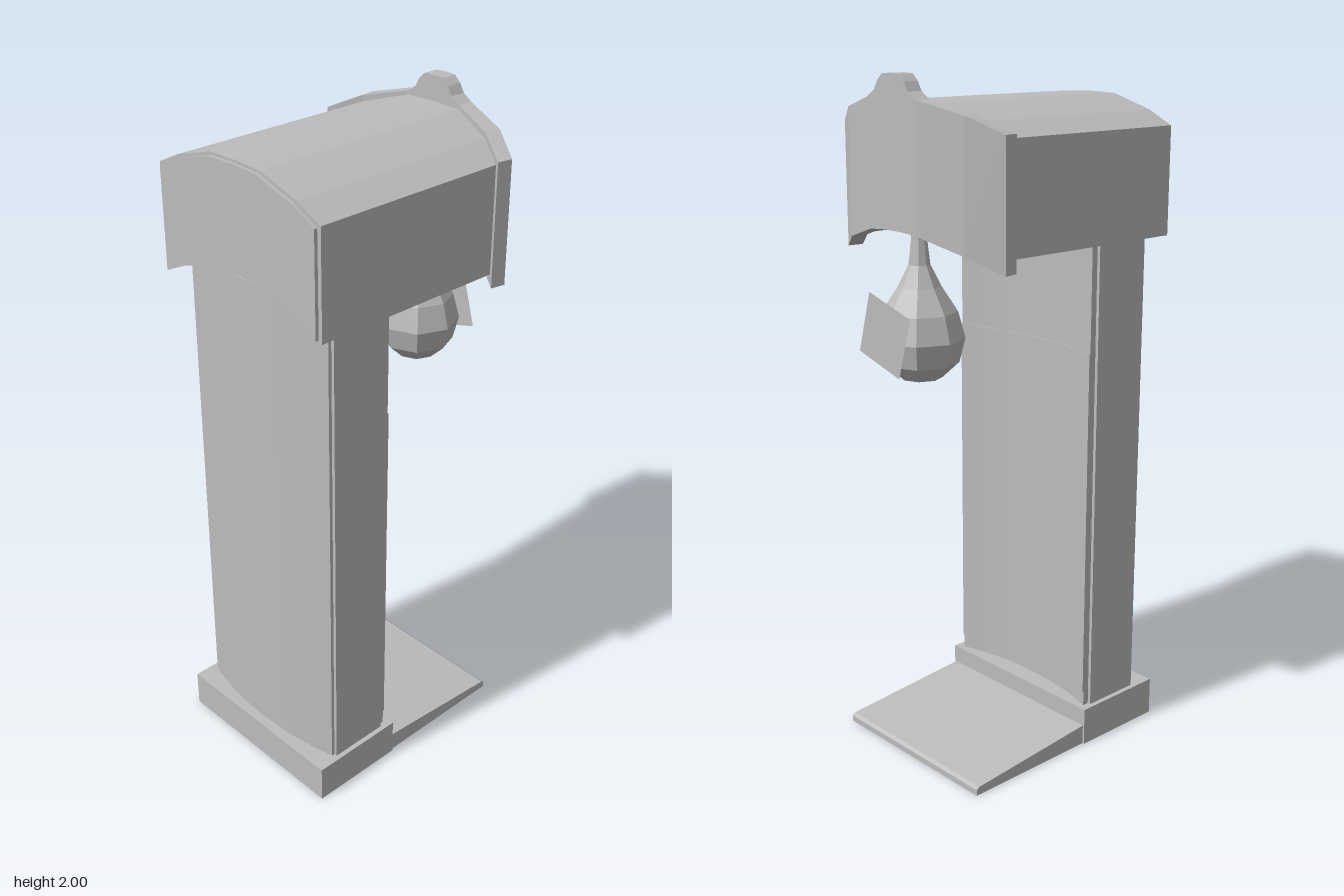
import * as THREE from 'three';

const grey = new THREE.MeshStandardMaterial({ color: 0xbcbcbc, flatShading: true });
grey.name = 'grey';
const greySheet = new THREE.MeshStandardMaterial({ color: 0xbcbcbc, flatShading: true, side: THREE.DoubleSide });
greySheet.name = 'grey sheet';

// Closed loft through four-cornered rings ordered front bottom, front top, back top, back bottom
function loft(rings) {
  const pos = [];
  const tri = (...pts) => pts.forEach((p) => pos.push(...p));
  for (let i = 0; i < rings.length - 1; i++) {
    const a = rings[i], n = rings[i + 1];
    for (let j = 0; j < 4; j++) {
      const k = (j + 1) % 4;
      tri(a[j], n[j], n[k]);
      tri(a[j], n[k], a[k]);
    }
  }
  const s = rings[0], e = rings[rings.length - 1];
  tri(s[0], s[1], s[2]); tri(s[0], s[2], s[3]);
  tri(e[0], e[2], e[1]); tri(e[0], e[3], e[2]);
  const g = new THREE.BufferGeometry();
  g.setAttribute('position', new THREE.Float32BufferAttribute(pos, 3));
  g.computeVertexNormals();
  return g;
}

// Half list from the outside edge to the middle, mirrored into a full list of rising x
function mirrored(half) {
  const left = half.map(([x, ...rest]) => [-x, ...rest]);
  const right = half.filter(([x]) => x > 0).reverse();
  return [...left, ...right];
}

// Plan outline of [x, z] points raised from y0 to y1
function prism(points, y0, y1, hole) {
  const flip = (list) => list.map(([x, z]) => new THREE.Vector2(x, -z));
  const shape = new THREE.Shape(flip(points));
  if (hole) shape.holes.push(new THREE.Path(flip(hole)));
  const g = new THREE.ExtrudeGeometry(shape, { depth: y1 - y0, bevelEnabled: false });
  g.rotateX(-Math.PI / 2);
  g.translate(0, y0, 0);
  return g;
}

const rect = (x, z0, z1) => [[-x, z0], [x, z0], [x, z1], [-x, z1]];

export function createModel() {
  const model = new THREE.Group();
  model.name = 'punchingMachine';
  const add = (name, geometry, material = grey) => {
    const mesh = new THREE.Mesh(geometry, material);
    mesh.name = name;
    model.add(mesh);
    return mesh;
  };
  const box = (name, w, h, d, x, y, z) =>
    add(name, new THREE.BoxGeometry(w, h, d)).position.set(x, y, z);

  // Hollow base with a closed top
  add('baseFrame', prism(rect(0.3, 0.4, 0.1), 0, 0.1, rect(0.285, 0.385, 0.115)));
  box('baseTop', 0.6, 0.015, 0.3, 0, 0.1075, 0.25);

  // Sloping standing platform behind the base
  const ramp = new THREE.Shape([[-0.1, 0], [0.335, 0], [0.335, 0.018], [0.325, 0.025], [-0.1, 0.06]]
    .map(([z, y]) => new THREE.Vector2(z, y)));
  const rampGeometry = new THREE.ExtrudeGeometry(ramp, { depth: 0.588, bevelEnabled: false });
  rampGeometry.translate(0, 0, -0.294);
  rampGeometry.rotateY(Math.PI / 2);
  add('platform', rampGeometry);

  // Column: bulging front, hollowed back
  const frontArc = mirrored([[0.275, 0.335], [0.2, 0.352], [0.11, 0.366], [0, 0.37]]);
  const backArc = mirrored([[0.275, 0.12], [0.2, 0.141], [0.11, 0.157], [0, 0.162]]);
  add('column', prism([...frontArc, ...backArc.slice().reverse()], 0.11, 1.6));
  for (const side of [-1, 1]) {
    box(side > 0 ? 'leftSidePanel' : 'rightSidePanel', 0.012, 1.445, 0.185, side * 0.279, 0.8375, 0.2325);
  }

  // Thin sheet lining the hollow back
  const outer = backArc.map(([x, z]) => [x, z - 0.004]);
  add('backSheet', prism([...backArc, ...outer.reverse()], 0.16, 1.22));

  // Arched canopy, its back end following the curved sign
  const canopyHalf = [[0.313, 1.535, -0.24], [0.23, 1.575, -0.29], [0.095, 1.615, -0.33], [0, 1.618, -0.33]];
  add('canopy', loft(mirrored(canopyHalf).map(([x, y, z]) =>
    [[x, y, 0.39], [x, y + 0.31, 0.39], [x, y + 0.31, z], [x, y, z]])));
  add('canopyFrontPlate', loft(mirrored(canopyHalf).map(([x, y]) => {
    const px = x * 0.96;
    return [[px, y + 0.008, 0.4], [px, y + 0.302, 0.4], [px, y + 0.302, 0.385], [px, y + 0.008, 0.385]];
  })));

  // Curved sign with a raised crest: x, bottom, top, inner z, outer z
  const signHalf = [
    [0.335, 1.5, 1.857, -0.22, -0.265],
    [0.24, 1.545, 1.902, -0.272, -0.322],
    [0.1, 1.585, 1.936, -0.315, -0.363],
    [0.07, 1.588, 1.955, -0.315, -0.363],
    [0.055, 1.589, 1.98, -0.315, -0.363],
    [0.035, 1.59, 1.998, -0.315, -0.363],
    [0, 1.59, 2.0, -0.315, -0.363],
  ];
  add('sign', loft(mirrored(signHalf).map(([x, y0, y1, zi, zo]) => {
    const xi = x * 0.975;
    return [[xi, y0, zi], [xi, y1, zi], [x, y1, zo], [x, y0, zo]];
  })));

  // Hanging bag
  const bagProfile = [[0, 1.16], [0.06, 1.172], [0.108, 1.217], [0.125, 1.285], [0.105, 1.36],
    [0.06, 1.43], [0.03, 1.49], [0.022, 1.56], [0.022, 1.68]].map(([r, y]) => new THREE.Vector2(r, y));
  add('punchBag', new THREE.LatheGeometry(bagProfile, 8)).position.z = -0.275;

  // Tilted square sheet on the striking side of the bag
  const target = add('bagTarget', new THREE.PlaneGeometry(0.18, 0.18), greySheet);
  target.position.set(0, 1.31, -0.402);
  target.rotation.z = 0.28;

  return model;
}
